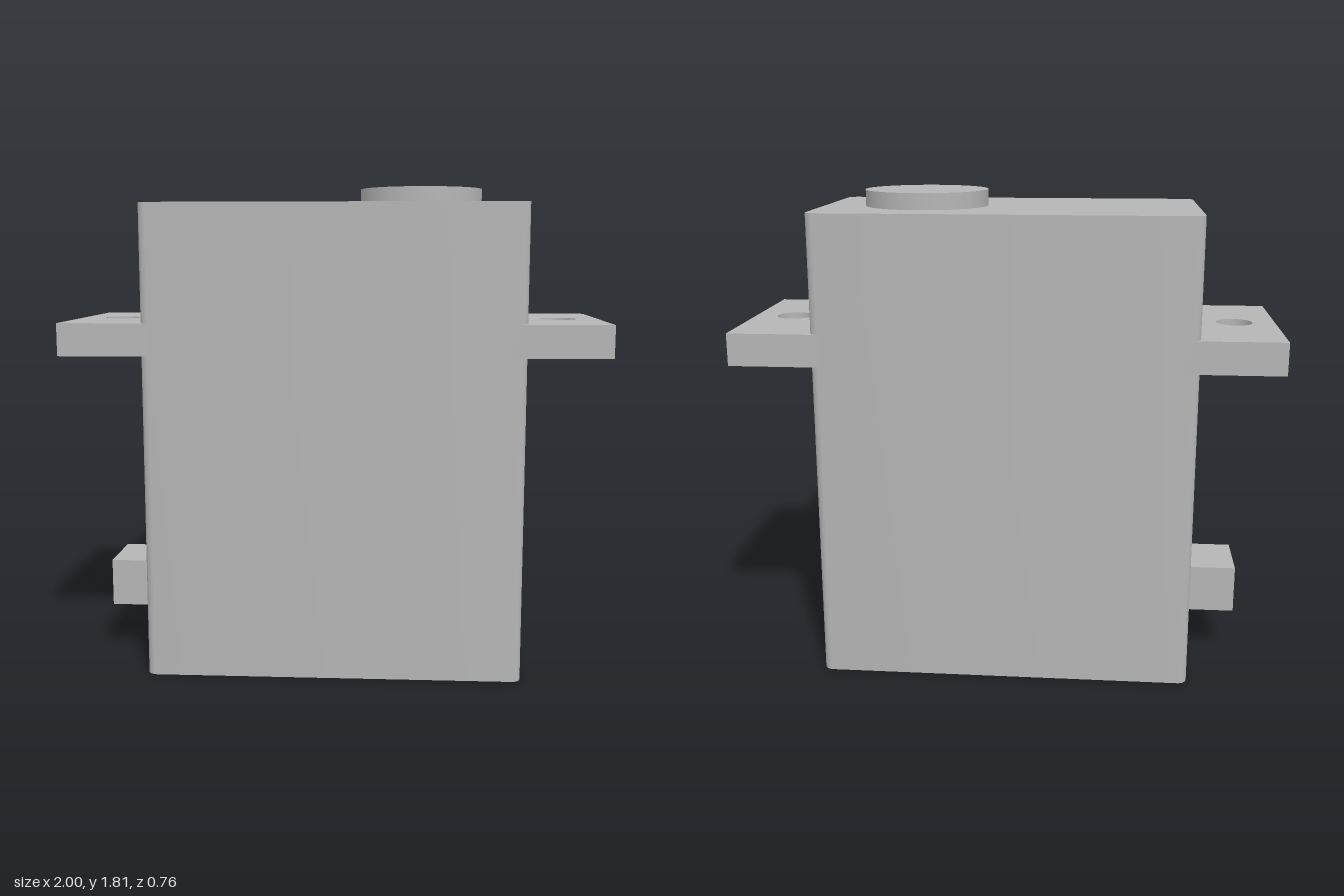
import * as THREE from 'three';
import { toCreasedNormals } from 'three/addons/utils/BufferGeometryUtils.js';

export function createModel() {
  const model = new THREE.Group();
  model.name = 'servoMotor';
  const grey = new THREE.MeshStandardMaterial({ color: 0xb5b5b5 });
  grey.name = 'grey plastic';

  const add = (name, geometry, x = 0, y = 0, z = 0) => {
    const mesh = new THREE.Mesh(geometry, grey);
    mesh.name = name;
    mesh.position.set(x, y, z);
    model.add(mesh);
    return mesh;
  };

  // Extrudes a plan outline upwards from y = 0
  const extrudeUp = (shape, height) => {
    const g = new THREE.ExtrudeGeometry(shape, { depth: height, bevelEnabled: false, curveSegments: 12 });
    g.rotateX(-Math.PI / 2);
    return toCreasedNormals(g, Math.PI / 5);
  };

  // Housing: box with rounded vertical edges
  const w = 0.6975, d = 0.38, r = 0.035;
  const plan = new THREE.Shape();
  plan.absarc(w - r, d - r, r, 0, Math.PI / 2);
  plan.absarc(-w + r, d - r, r, Math.PI / 2, Math.PI);
  plan.absarc(-w + r, -d + r, r, Math.PI, Math.PI * 1.5);
  plan.absarc(w - r, -d + r, r, Math.PI * 1.5, Math.PI * 2);
  plan.closePath();
  add('housing', extrudeUp(plan, 1.75));

  // Mounting tabs, each with a screw hole
  for (const [name, side] of [['leftMountingTab', 1], ['rightMountingTab', -1]]) {
    const inner = w - r, length = 1 - inner;
    const tab = new THREE.Shape();
    tab.moveTo(-length / 2, -d);
    tab.lineTo(length / 2, -d);
    tab.lineTo(length / 2, d);
    tab.lineTo(-length / 2, d);
    tab.closePath();
    const centre = side * (inner + length / 2);
    const hole = new THREE.Path();
    hole.absarc(side * 0.847 - centre, 0, 0.069, 0, Math.PI * 2, true);
    tab.holes.push(hole);
    add(name, extrudeUp(tab, 0.12), centre, 1.2, 0);
  }

  // Output disc on top
  add('outputDisc', new THREE.CylinderGeometry(0.23, 0.23, 0.07, 64), 0.317, 1.775, 0);

  // Cable outlet low on one end
  add('cableOutlet', new THREE.BoxGeometry(0.2, 0.18, 0.25), -0.787, 0.28, 0);

  return model;
}
